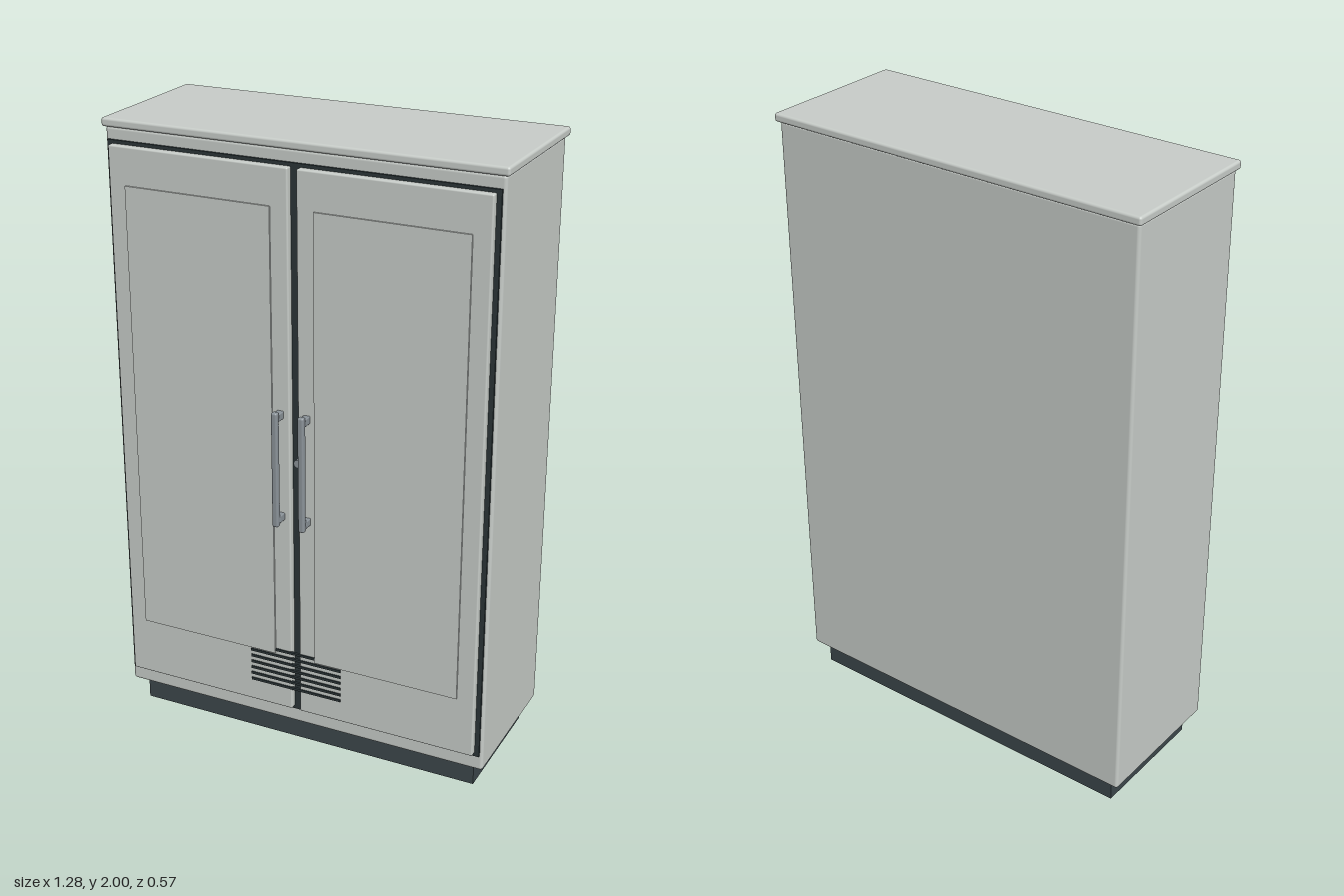
import * as THREE from 'three';
import { RoundedBoxGeometry } from 'three/addons/geometries/RoundedBoxGeometry.js';

export function createModel() {
  const root = new THREE.Group();
  root.name = 'cabinet';

  const material = (name, color) => {
    const m = new THREE.MeshStandardMaterial({ color });
    m.name = name;
    return m;
  };
  const shell = material('pale grey enamel', 0xc8cdc9);
  const plinthDark = material('plinth slate', 0x3c474b);
  const sealDark = material('seal charcoal', 0x2b3538);
  const metal = material('handle steel', 0x8b9399);

  const add = (name, geometry, mat, parent = root) => {
    const mesh = new THREE.Mesh(geometry, mat);
    mesh.name = name;
    parent.add(mesh);
    return mesh;
  };
  // Box given by its limits on each axis; r > 0 rounds the edges
  const box = (name, [x0, x1], [y0, y1], [z0, z1], mat, r = 0, parent = root) => {
    const size = [x1 - x0, y1 - y0, z1 - z0];
    const geometry = r ? new RoundedBoxGeometry(...size, 3, r) : new THREE.BoxGeometry(...size);
    const mesh = add(name, geometry, mat, parent);
    mesh.position.set((x0 + x1) / 2, (y0 + y1) / 2, (z0 + z1) / 2);
    return mesh;
  };

  // Carcass
  box('plinth', [-0.59, 0.59], [0, 0.085], [-0.243, 0.177], plinthDark);
  box('body', [-0.63, 0.63], [0.08, 1.975], [-0.273, 0.209], shell, 0.01);
  box('topSlab', [-0.64, 0.64], [1.973, 2], [-0.285, 0.217], shell, 0.008);
  box('doorSeal', [-0.62, 0.62], [0.133, 1.937], [0.2, 0.216], sealDark);

  // Doors, mirrored about the middle
  for (const s of [-1, 1]) {
    const door = new THREE.Group();
    door.name = s > 0 ? 'leftDoor' : 'rightDoor';
    root.add(door);
    const span = (a, b) => (s > 0 ? [a, b] : [-b, -a]);
    box('doorLeaf', span(0.014, 0.606), [0.145, 1.927], [0.214, 0.239], shell, 0.005, door);
    box('raisedPanel', span(0.07, 0.55), [0.34, 1.81], [0.235, 0.2445], shell, 0, door);

    // Bar handle on two standoffs
    const bar = add('handleBar', new RoundedBoxGeometry(0.02, 0.378, 0.02, 3, 0.006), metal, door);
    bar.position.set(s * 0.044, 1.001, 0.275);
    for (const y of [0.832, 1.17]) {
      box('handleStandoff', span(0.033, 0.055), [y - 0.012, y + 0.012], [0.236, 0.27], metal, 0.003, door);
    }
  }

  // Lock cylinder on the left door
  const lock = add('lock', new THREE.CylinderGeometry(0.013, 0.013, 0.022, 20), metal);
  lock.rotation.x = Math.PI / 2;
  lock.position.set(0.02, 1.025, 0.244);

  // Ventilation louvres, the top one partly behind the raised panels
  for (let i = 0; i < 7; i++) {
    const y = 0.223 + i * 0.0215;
    box('ventSlat', [-0.158, 0.158], [y - 0.004, y + 0.004], [0.235, 0.243], sealDark);
  }

  return root;
}
